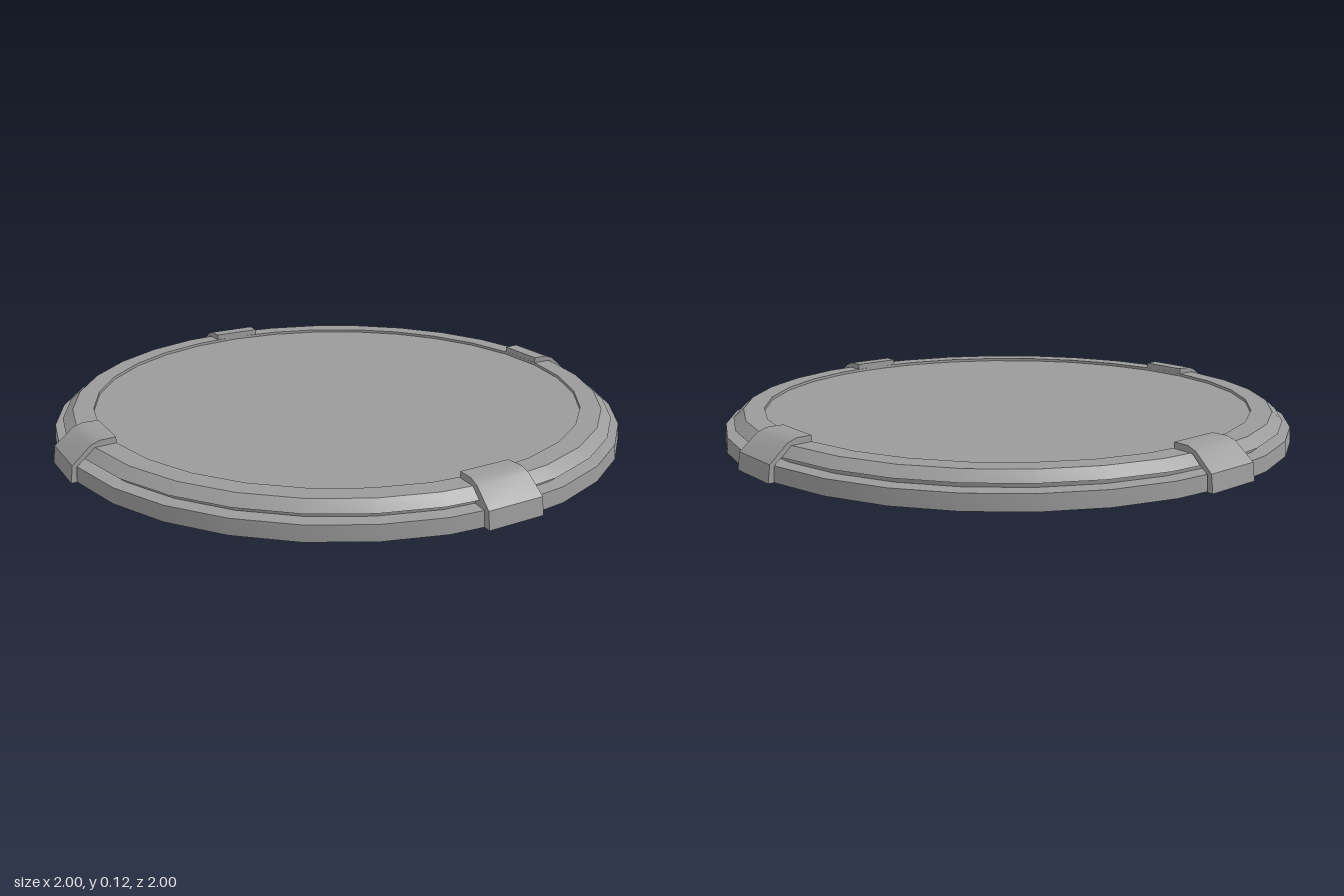
import * as THREE from 'three';
import { toCreasedNormals } from 'three/addons/utils/BufferGeometryUtils.js';

const SIDES = 30;
const CREASE = 0.6;
const material = new THREE.MeshStandardMaterial({ color: 0x9b9b9b, side: THREE.DoubleSide });

function part(name, geometry) {
  const mesh = new THREE.Mesh(geometry, material);
  mesh.name = name;
  return mesh;
}

const points = (list) => list.map(([x, y]) => new THREE.Vector2(x, y));

// Clip profiles as (radius, height): the outer face, and two kinds of underside
const OUTER = [[1.0, 0], [0.992, 0.056], [0.93, 0.109], [0.9, 0.12], [0.846, 0.12]];
const HUGGING = [[0.846, 0.1], [0.917, 0.1], [0.951, 0.07], [0.977, 0.05], [0.981, 0]];
const DEEP = [[0.846, 0.087], [0.88, 0.08], [0.935, 0.04], [0.975, 0]];

// Bracket that folds over the rim: side profile extruded across its width
function clipGeometry(underside) {
  const width = 0.195;
  const shape = new THREE.Shape(points([...OUTER, ...underside]));
  const geometry = new THREE.ExtrudeGeometry(shape, { depth: width, bevelEnabled: false });
  geometry.translate(0, 0, -width / 2);
  // Narrow slightly towards the centre of the disc
  const pos = geometry.attributes.position;
  for (let i = 0; i < pos.count; i++) {
    const t = (1 - pos.getX(i)) / 0.154;
    pos.setZ(i, pos.getZ(i) * (1 - 0.1 * t));
  }
  return toCreasedNormals(geometry, CREASE);
}

export function createModel() {
  const model = new THREE.Group();
  model.name = 'roundCover';

  // Open-bottomed rim: outer wall, groove, sloped shoulder, flat top and inner step
  const profile = points([
    [0.985, 0], [0.981, 0.05], [0.935, 0.053], [0.937, 0.066],
    [0.955, 0.07], [0.92, 0.1], [0.85, 0.1], [0.85, 0.09],
  ]);
  const rim = new THREE.LatheGeometry(profile, SIDES, Math.PI / SIDES);
  model.add(part('rim', toCreasedNormals(rim, CREASE)));

  // Thin plate set just below the rim top
  const plate = new THREE.CircleGeometry(0.85, SIDES);
  plate.rotateX(-Math.PI / 2);
  plate.translate(0, 0.09, 0);
  model.add(part('plate', plate));

  // Four clips, turned a little off the axes; the left one reaches through under the rim
  const names = ['leftClip', 'backClip', 'rightClip', 'frontClip'];
  names.forEach((name, i) => {
    const clip = part(name, clipGeometry(i === 0 ? DEEP : HUGGING));
    clip.rotation.y = -Math.PI / 15 + (i * Math.PI) / 2;
    model.add(clip);
  });
  return model;
}
